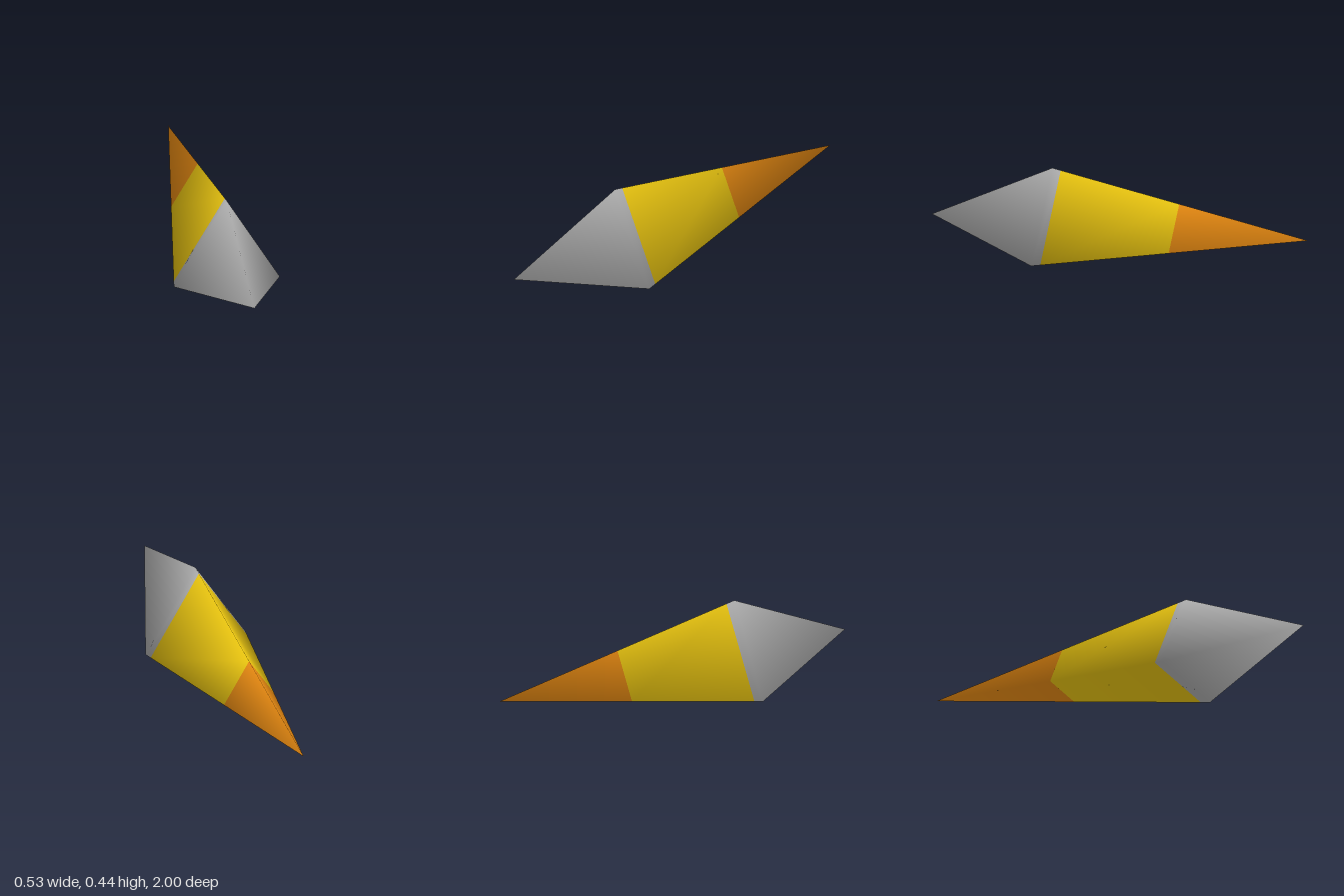
import * as THREE from 'three';

const AXIS_Y = 0.175;

// Triangle corners at the widest ring, relative to the axis, with outward directions
const CORNERS = [
  { x: 0, y: 0.27, nx: 0, ny: 1 },
  { x: -0.265, y: -0.175, nx: -0.87, ny: -0.49 },
  { x: 0.265, y: -0.175, nx: 0.87, ny: -0.49 },
];

// Smooth three-sided skin through rings ordered front to back.
// Each ring is { z, scale, radial, tilt }; the last two set the normal.
function skin(name, rings, material) {
  const pos = [], nor = [], idx = [];
  for (const r of rings) {
    for (const c of CORNERS) {
      pos.push(c.x * r.scale, AXIS_Y + c.y * r.scale, r.z);
      const n = new THREE.Vector3(c.nx * r.radial, c.ny * r.radial, r.tilt).normalize();
      nor.push(n.x, n.y, n.z);
    }
  }
  for (let i = 0; i < rings.length - 1; i++) {
    for (let j = 0; j < 3; j++) {
      const a = i * 3 + j, b = i * 3 + (j + 1) % 3, c = a + 3, d = b + 3;
      if (rings[i].scale > 0) idx.push(a, d, b);
      if (rings[i + 1].scale > 0) idx.push(a, c, d);
    }
  }
  const geo = new THREE.BufferGeometry();
  geo.setAttribute('position', new THREE.Float32BufferAttribute(pos, 3));
  geo.setAttribute('normal', new THREE.Float32BufferAttribute(nor, 3));
  geo.setIndex(idx);
  const mesh = new THREE.Mesh(geo, material);
  mesh.name = name;
  return mesh;
}

export function createModel() {
  const gray = new THREE.MeshStandardMaterial({ color: 0xacacac });
  const yellow = new THREE.MeshStandardMaterial({ color: 0xe4c00f });
  const orange = new THREE.MeshStandardMaterial({ color: 0xde8410 });
  gray.name = 'gray';
  yellow.name = 'yellow';
  orange.name = 'orange';

  // Long rear taper from the widest ring to the back point
  const taper = (z) => (z + 1) / 1.36;
  const frontTip = { z: 1, scale: 0, radial: 0, tilt: 1 };
  const widest = { z: 0.36, scale: 1, radial: 1, tilt: 0.12 };
  const collar = { z: 0.315, scale: taper(0.315), radial: 1, tilt: -0.15 };
  const split = { z: -0.315, scale: taper(-0.315), radial: 0.54, tilt: -0.54 };
  const backTip = { z: -1, scale: 0, radial: 0, tilt: -1 };

  const group = new THREE.Group();
  group.name = 'dart';
  group.add(
    skin('noseAndCollar', [frontTip, widest, collar], gray),
    skin('body', [collar, split], yellow),
    skin('tail', [split, backTip], orange),
  );
  return group;
}
